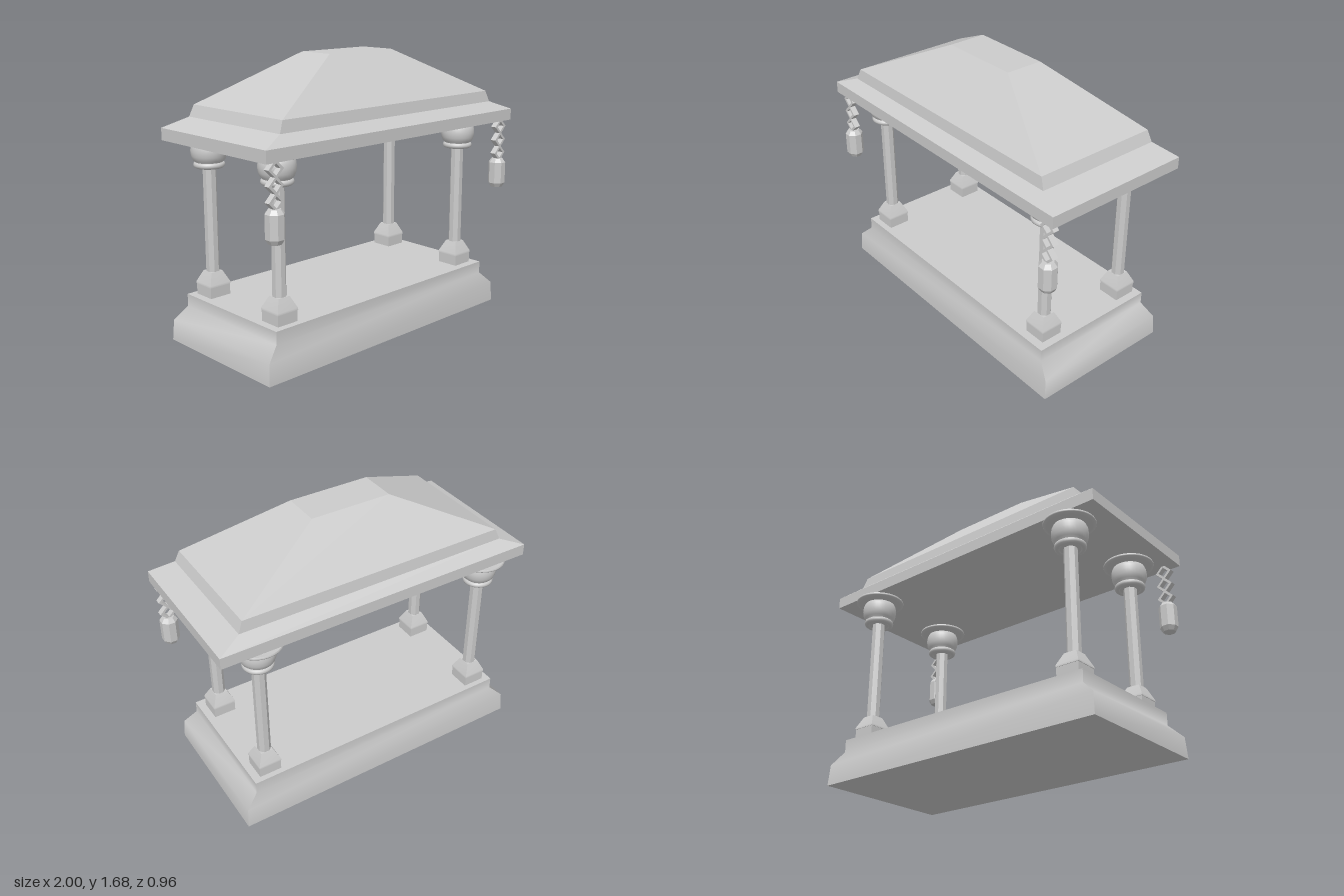
import * as THREE from 'three';

const smoothMat = new THREE.MeshStandardMaterial({ color: 0xcccccc });
const flatMat = new THREE.MeshStandardMaterial({ color: 0xcccccc, flatShading: true });
const thinMat = new THREE.MeshStandardMaterial({ color: 0xcccccc, side: THREE.DoubleSide });

function add(parent, name, geometry, material, x = 0, y = 0, z = 0) {
  const mesh = new THREE.Mesh(geometry, material);
  mesh.name = name;
  mesh.position.set(x, y, z);
  parent.add(mesh);
  return mesh;
}

// Rectangular stack of levels [y, halfX, halfZ]; the four walls keep sharp corners.
function rectLoft(levels) {
  const corners = [[1, 1], [1, -1], [-1, -1], [-1, 1]];
  const pos = [], index = [];
  const put = ([y, hx, hz], k) => pos.push(hx * corners[k % 4][0], y, hz * corners[k % 4][1]);
  for (let side = 0; side < 4; side++) {
    const start = pos.length / 3;
    for (const level of levels) { put(level, side); put(level, side + 1); }
    for (let j = 0; j < levels.length - 1; j++) {
      const a = start + j * 2;
      index.push(a, a + 1, a + 3, a, a + 3, a + 2);
    }
  }
  const bottom = pos.length / 3;
  for (let k = 0; k < 4; k++) put(levels[0], k);
  for (let k = 0; k < 4; k++) put(levels[levels.length - 1], k);
  index.push(bottom, bottom + 2, bottom + 1, bottom, bottom + 3, bottom + 2);
  index.push(bottom + 4, bottom + 5, bottom + 6, bottom + 4, bottom + 6, bottom + 7);
  const g = new THREE.BufferGeometry();
  g.setAttribute('position', new THREE.Float32BufferAttribute(pos, 3));
  g.setIndex(index);
  g.computeVertexNormals();
  return g;
}

// Eight-sided prism with flats facing the axes; radii measured to the flats.
function octagon(top, bottom, height) {
  const k = 1 / Math.cos(Math.PI / 8);
  return new THREE.CylinderGeometry(top * k, bottom * k, height, 8).rotateY(Math.PI / 8);
}

function column() {
  const g = new THREE.Group();
  g.name = 'column';
  add(g, 'columnFootBlock', new THREE.BoxGeometry(0.138, 0.075, 0.138), flatMat, 0, 0.307, 0);
  add(g, 'columnFootTaper',
    rectLoft([[0.34, 0.072, 0.072], [0.352, 0.071, 0.071], [0.42, 0.039, 0.039]]), smoothMat);
  add(g, 'columnShaft', octagon(0.037, 0.037, 0.65), flatMat, 0, 0.735, 0);
  // round capital: neck, ball
  const ball = [[0, 1.045], [0.07, 1.045], [0.076, 1.07], [0.092, 1.085], [0.102, 1.11],
    [0.105, 1.138], [0.102, 1.165], [0.093, 1.186], [0.08, 1.2]]
    .map(([r, y]) => new THREE.Vector2(r, y));
  add(g, 'capitalBall', new THREE.LatheGeometry(ball, 32), smoothMat);
  add(g, 'capitalRing', new THREE.TorusGeometry(0.073, 0.018, 10, 32).rotateX(Math.PI / 2),
    smoothMat, 0, 1.057, 0);
  // thin flared disc under the roof
  const disc = [[0.08, 1.185], [0.13, 1.19], [0.148, 1.196], [0.15, 1.203], [0.146, 1.211]]
    .map(([r, y]) => new THREE.Vector2(r, y));
  add(g, 'capitalDisc', new THREE.LatheGeometry(disc, 32), thinMat);
  return g;
}

// Square ring standing on one corner
function linkGeometry() {
  const diamond = (Path, r) =>
    new Path([[r, 0], [0, r], [-r, 0], [0, -r]].map(([x, y]) => new THREE.Vector2(x, y)));
  const shape = diamond(THREE.Shape, 0.051);
  shape.holes.push(diamond(THREE.Path, 0.031));
  return new THREE.ExtrudeGeometry(shape, { depth: 0.036, bevelEnabled: false })
    .translate(0, 0, -0.018);
}

function lantern() {
  const g = new THREE.Group();
  g.name = 'hangingLantern';
  const link = linkGeometry();
  for (let i = 0; i < 3; i++) add(g, 'chainLink', link, flatMat, 0, 1.17 - i * 0.085, 0);
  add(g, 'lanternTop', octagon(0.032, 0.05, 0.025), flatMat, 0, 0.952, 0);
  add(g, 'lanternBody', octagon(0.05, 0.05, 0.133), flatMat, 0, 0.873, 0);
  add(g, 'lanternBottom', octagon(0.05, 0.035, 0.027), flatMat, 0, 0.793, 0);
  return g;
}

export function createModel() {
  const model = new THREE.Group();
  model.name = 'pavilion';

  // moulded plinth
  add(model, 'plinth', rectLoft([[0, 0.953, 0.45], [0.125, 0.945, 0.443],
    [0.2, 0.866, 0.408], [0.275, 0.866, 0.408]]), smoothMat, -0.015, 0, -0.024);

  // hipped roof with stepped eaves
  add(model, 'roof', rectLoft([[1.21, 1, 0.461], [1.28, 1, 0.461], [1.335, 0.855, 0.396],
    [1.402, 0.828, 0.385], [1.68, 0.25, 0.116]]), flatMat, 0, 0, 0.015);

  // four columns
  for (const [x, z] of [[-0.765, 0.275], [0.735, 0.263], [-0.765, -0.33], [0.735, -0.33]]) {
    const c = column();
    c.position.set(x, 0, z);
    model.add(c);
  }

  // lanterns on chains at the front corners
  for (const x of [-0.917, 0.933]) {
    const l = lantern();
    l.position.set(x, 0, 0.433);
    model.add(l);
  }
  return model;
}
